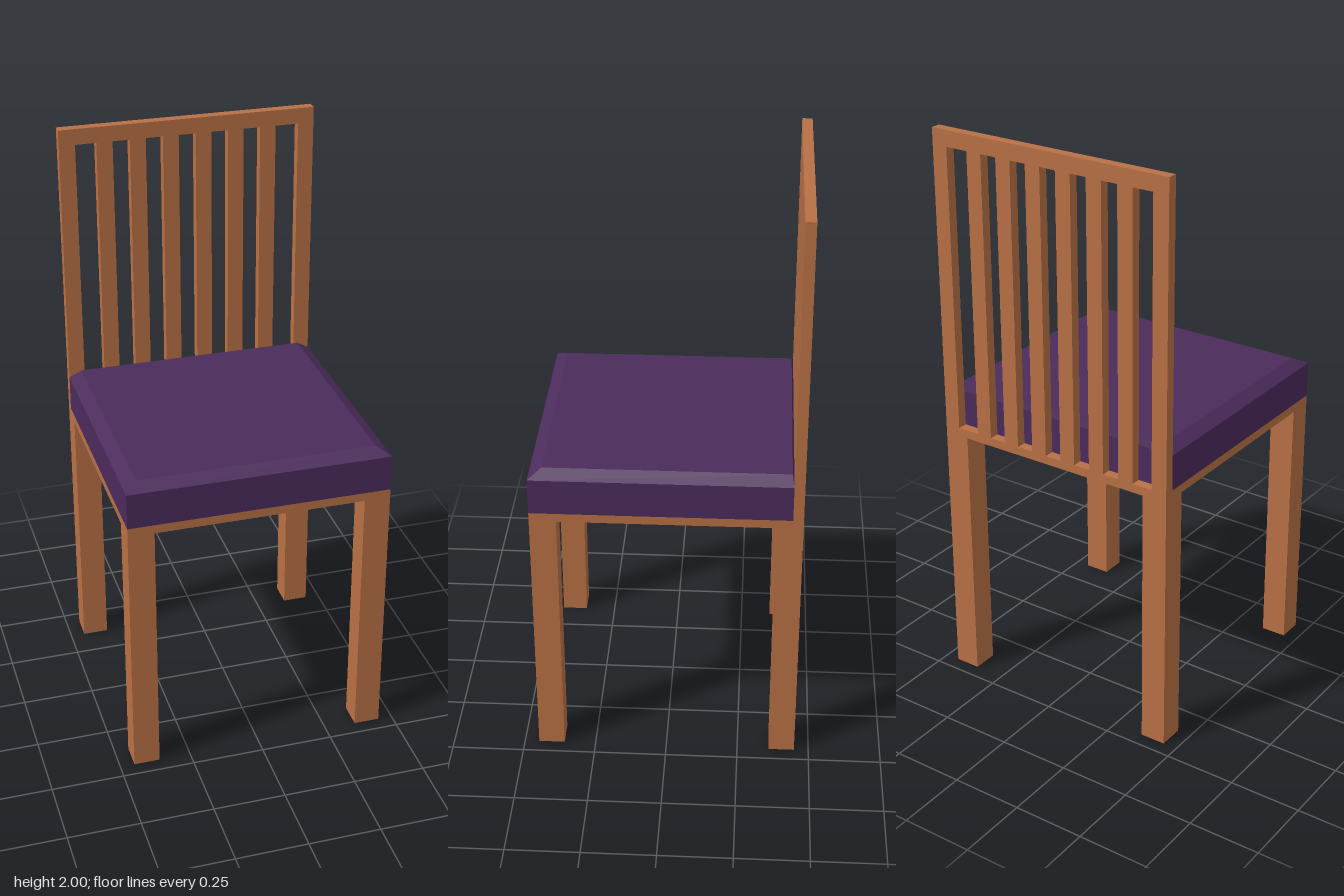
import * as THREE from 'three';

const wood = new THREE.MeshStandardMaterial({ color: 0xb87045, flatShading: true });
const fabric = new THREE.MeshStandardMaterial({ color: 0x4b2b5b, flatShading: true });

// Box given by its min and max corners
function block(name, [x0, y0, z0], [x1, y1, z1]) {
  const mesh = new THREE.Mesh(new THREE.BoxGeometry(x1 - x0, y1 - y0, z1 - z0), wood);
  mesh.position.set((x0 + x1) / 2, (y0 + y1) / 2, (z0 + z1) / 2);
  mesh.name = name;
  return mesh;
}

// Cushion: a box whose upper rim slopes inward to a smaller top
function makeCushion() {
  const bottom = 0.955, rim = 1.08, top = 1.105, back = -0.415, front = 0.45;
  let geometry = new THREE.BoxGeometry(0.9, 2, 2, 1, 2, 1);
  const p = geometry.attributes.position;
  for (let i = 0; i < p.count; i++) {
    const level = Math.round(p.getY(i));
    const isTop = level === 1;
    const x = Math.sign(p.getX(i)) * (isTop ? 0.407 : 0.45);
    const z = p.getZ(i) > 0 ? (isTop ? 0.407 : front) : (isTop ? -0.409 : back);
    p.setXYZ(i, x, [bottom, rim, top][level + 1], z);
  }
  geometry = geometry.toNonIndexed();
  geometry.computeVertexNormals();
  const mesh = new THREE.Mesh(geometry, fabric);
  mesh.name = 'seatCushion';
  return mesh;
}

export function createModel() {
  const chair = new THREE.Group();
  chair.name = 'chair';

  // Four square legs
  for (const [zName, z] of [['front', 0.405], ['back', -0.405]]) {
    for (const [xName, x] of [['Left', 0.405], ['Right', -0.405]]) {
      chair.add(block(`${zName}${xName}Leg`,
        [x - 0.045, 0, z - 0.045], [x + 0.045, 0.925, z + 0.045]));
    }
  }

  // Seat board and cushion
  chair.add(block('seatBoard', [-0.45, 0.925, -0.45], [0.45, 0.955, 0.45]));
  chair.add(makeCushion());

  // Backrest: two stiles, a top rail and six slats
  const backrest = new THREE.Group();
  backrest.name = 'backrest';
  const zBack = -0.45, zFront = -0.415, base = 0.955, railBottom = 1.945;
  backrest.add(block('topRail', [-0.45, railBottom, zBack], [0.45, 2, zFront]));
  backrest.add(block('leftStile', [0.394, base, zBack], [0.45, railBottom, zFront]));
  backrest.add(block('rightStile', [-0.45, base, zBack], [-0.394, railBottom, zFront]));
  for (let i = 0; i < 6; i++) {
    const x = -0.293 + i * 0.1155;
    backrest.add(block(`slat${i + 1}`,
      [x - 0.028, base, zBack], [x + 0.028, railBottom, zFront]));
  }
  chair.add(backrest);
  return chair;
}
